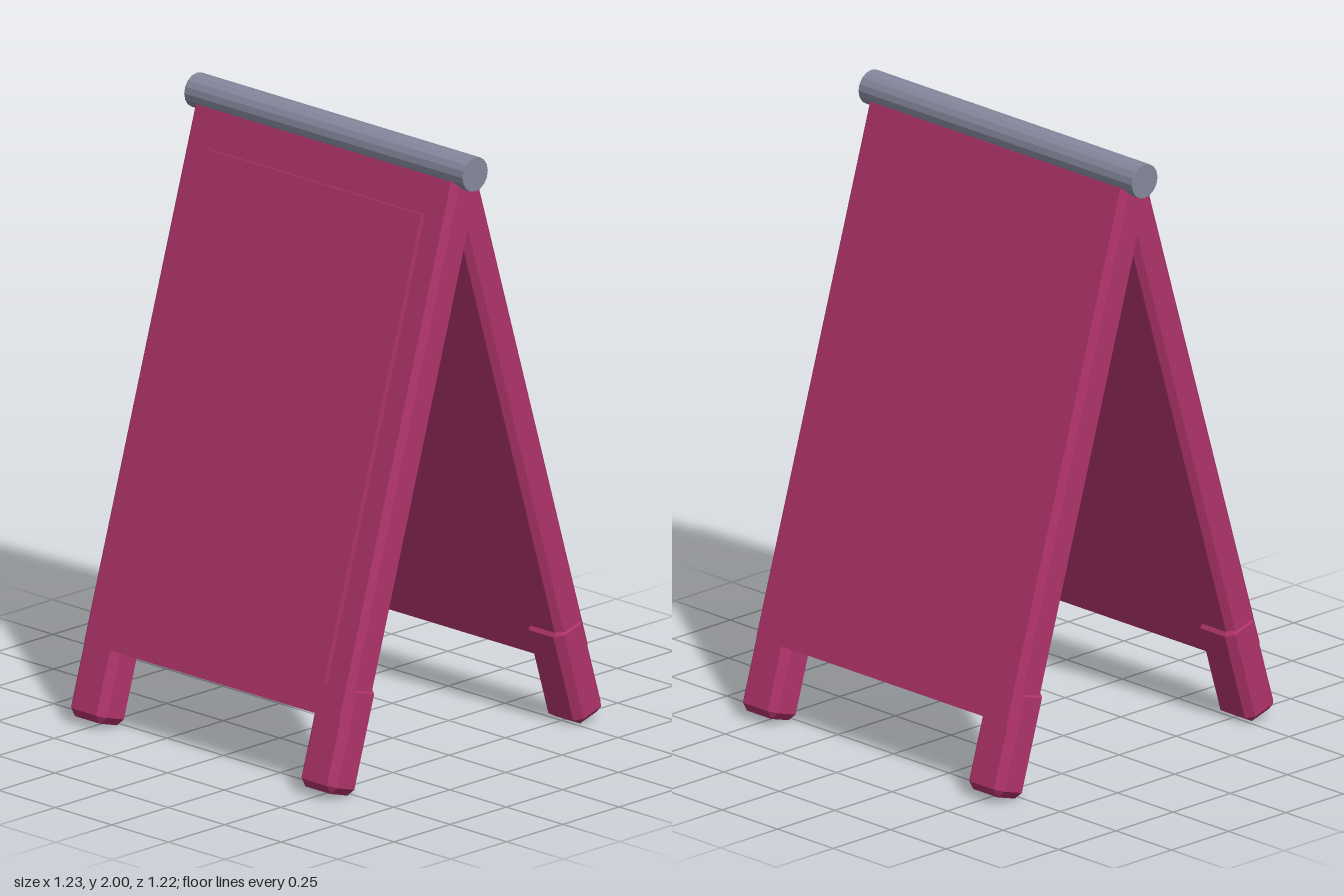
import * as THREE from 'three';
import { ConvexGeometry } from 'three/addons/geometries/ConvexGeometry.js';

const paint = new THREE.MeshStandardMaterial({ color: 0xae336a, flatShading: true });
paint.name = 'raspberry paint';
const metal = new THREE.MeshStandardMaterial({ color: 0x84889c, flatShading: true });
metal.name = 'grey metal';

function add(parent, name, geometry, material, x, y, z) {
  const mesh = new THREE.Mesh(geometry, material);
  mesh.name = name;
  mesh.position.set(x, y, z);
  parent.add(mesh);
  return mesh;
}

// Box with its lengthwise edges cut by c and its two ends cut by e
function chamferedBox(w, h, d, c, e) {
  const points = [];
  for (const sx of [-1, 1]) for (const sy of [-1, 1]) for (const sz of [-1, 1]) {
    const x = w / 2, y = h / 2, z = d / 2;
    points.push(new THREE.Vector3(sx * x, sy * (y - e), sz * (z - c)));
    points.push(new THREE.Vector3(sx * (x - c), sy * (y - e), sz * z));
    if (e > 0) {
      points.push(new THREE.Vector3(sx * (x - c), sy * y, sz * (z - c)));
    } 
  }
  return new ConvexGeometry(points);
}

// One leaning side: origin at the outer bottom edge, +y up the slope, +z outward
function createSide(name) {
  const side = new THREE.Group();
  side.name = name;
  const leaf = new THREE.Group();
  leaf.name = 'leaningLeaf';
  leaf.position.set(0, 0.26, 0.553);
  leaf.rotation.x = -Math.atan(0.3);
  side.add(leaf);

  add(leaf, 'board', chamferedBox(1.165, 1.733, 0.12, 0.02, 0), paint, 0, 0.8665, -0.06);
  for (const s of [-1, 1]) {
    add(leaf, s > 0 ? 'leftFoot' : 'rightFoot',
      chamferedBox(0.158, 0.355, 0.127, 0.024, 0.024), paint, s * 0.509, -0.057, -0.0675);
  }
  return { side, leaf };
}

export function createModel() {
  const model = new THREE.Group();
  model.name = 'sandwichBoard';

  const front = createSide('frontSide');
  const back = createSide('backSide');
  back.side.rotation.y = Math.PI;
  model.add(front.side, back.side);

  // Raised display plate on the front only
  add(front.leaf, 'displayPlate', new THREE.BoxGeometry(0.966, 1.51, 0.037), paint, 0, 0.855, -0.0005);

  // Round bar along the ridge
  const bar = add(model, 'ridgeBar',
    new THREE.CylinderGeometry(0.056, 0.056, 1.23, 16), metal, 0, 1.944, 0);
  bar.rotation.z = Math.PI / 2;

  return model;
}
